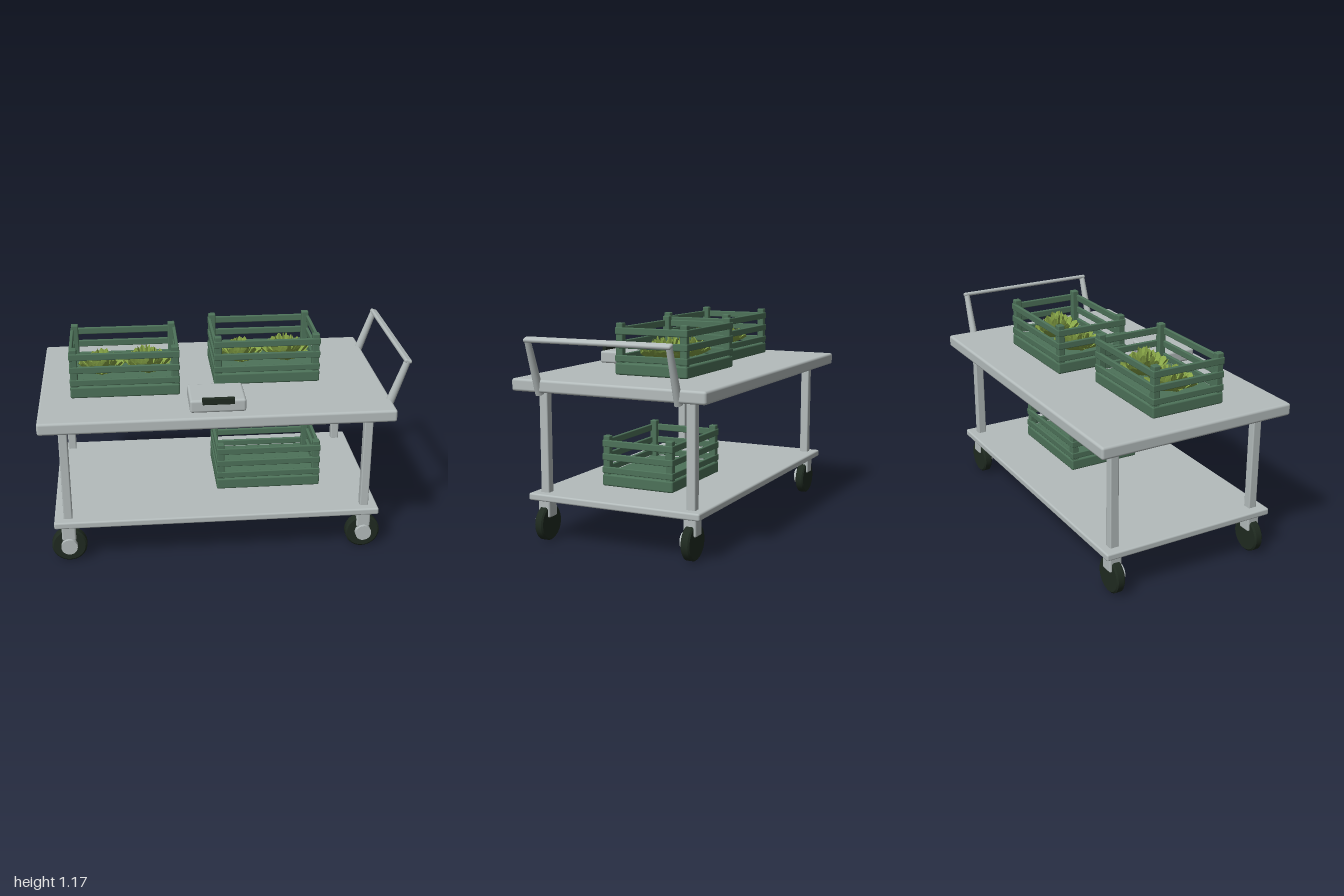
import * as THREE from 'three';
import { RoundedBoxGeometry } from 'three/addons/geometries/RoundedBoxGeometry.js';
import { mergeGeometries } from 'three/addons/utils/BufferGeometryUtils.js';

const mat = (name, color, extra = {}) => {
  const m = new THREE.MeshStandardMaterial({ color, ...extra });
  m.name = name;
  return m;
};

export function createModel() {
  const metal = mat('pale grey metal', 0xb4bcbc);
  const green = mat('crate green', 0x4d7259);
  const dark = mat('dark rubber', 0x1f2a20);
  const leafGreen = mat('leaf green', 0x8aa848, { side: THREE.DoubleSide, flatShading: true });

  const cart = new THREE.Group();
  cart.name = 'cart';

  const add = (parent, name, geometry, material, x = 0, y = 0, z = 0) => {
    const mesh = new THREE.Mesh(geometry, material);
    mesh.name = name;
    mesh.position.set(x, y, z);
    parent.add(mesh);
    return mesh;
  };
  // Rounded box given by its extents on each axis
  const block = (parent, name, material, [x0, x1], [y0, y1], [z0, z1], r = 0.006) =>
    add(parent, name, new RoundedBoxGeometry(x1 - x0, y1 - y0, z1 - z0, 2, r), material,
      (x0 + x1) / 2, (y0 + y1) / 2, (z0 + z1) / 2);

  // Table top and lower shelf
  block(cart, 'tableTop', metal, [-1, 0.9], [0.822, 0.89], [-0.565, 0.565], 0.014);
  block(cart, 'lowerShelf', metal, [-0.95, 0.85], [0.227, 0.266], [-0.507, 0.507], 0.01);

  // Legs and casters; every hub cap faces +z
  const tyre = new THREE.LatheGeometry([
    [0, -0.025], [0.088, -0.025], [0.088, -0.025], [0.097, -0.017], [0.097, -0.017],
    [0.097, 0.017], [0.097, 0.017], [0.088, 0.025], [0.088, 0.025], [0, 0.025],
  ].map(([x, y]) => new THREE.Vector2(x, y)), 32).rotateX(Math.PI / 2);
  const hub = new THREE.CylinderGeometry(0.045, 0.045, 0.04, 24).rotateX(Math.PI / 2);
  for (const x of [-0.875, 0.775]) {
    for (const z of [-0.435, 0.435]) {
      block(cart, 'leg', metal, [x - 0.024, x + 0.024], [0.25, 0.835], [z - 0.025, z + 0.025], 0.007);
      const caster = new THREE.Group();
      caster.name = 'caster';
      caster.position.set(x, 0, z);
      cart.add(caster);
      block(caster, 'fork', metal, [-0.039, 0.039], [0.13, 0.235], [-0.036, 0.036], 0.01);
      add(caster, 'wheel', tyre, dark, 0, 0.097, 0);
      add(caster, 'hubCap', hub, metal, 0, 0.1, 0.033);
    }
  }

  // Leaning push handle: tapered uprights joined by a cross bar
  const handle = new THREE.Group();
  handle.name = 'handle';
  cart.add(handle);
  const foot = new THREE.Vector2(0.872, 0.812), head = new THREE.Vector2(0.975, 1.108);
  const lean = Math.atan2(head.x - foot.x, head.y - foot.y);
  const upright = new THREE.CylinderGeometry(0.016, 0.022, foot.distanceTo(head), 16);
  upright.scale(1.15, 1, 1);
  for (const z of [-0.405, 0.405]) {
    const post = add(handle, 'handleUpright', upright, metal, (foot.x + head.x) / 2, (foot.y + head.y) / 2, z);
    post.rotation.z = -lean;
  }
  const bar = add(handle, 'handleBar', new RoundedBoxGeometry(0.043, 0.022, 0.842, 3, 0.01), metal, 0.976, 1.107, 0);
  bar.rotation.z = -lean;

  // Weighing unit with its display
  block(cart, 'scaleBody', metal, [-0.2, 0.1], [0.888, 0.96], [0.263, 0.498], 0.014);
  block(cart, 'scaleDisplay', dark, [-0.135, 0.036], [0.942, 0.977], [0.494, 0.518], 0.003);

  // One cupped leaf, bent from a plane: u runs to the tip, v across
  const leaf = (reach, height, spread, turn) => {
    const g = new THREE.PlaneGeometry(1, 1, 4, 4);
    const p = g.attributes.position;
    for (let i = 0; i < p.count; i++) {
      const v = p.getX(i) * 2, u = p.getY(i) + 0.5;
      const a = turn + v * spread * (0.85 - 0.35 * u * u);
      const r = reach * (0.12 + 0.88 * Math.pow(u, 0.75)) * (1 - 0.14 * v * v * u);
      const y = height * (Math.pow(u, 1.4) + 0.12 * v * v * u) - 0.008 * Math.cos(v * 6) * u;
      p.setXYZ(i, Math.sin(a) * r, y, Math.cos(a) * r);
    }
    g.computeVertexNormals();
    return g;
  };
  // Rings of leaves: count, reach, height, half angle
  const rings = [[7, 0.14, 0.05, 0.75], [7, 0.122, 0.066, 0.7], [6, 0.098, 0.085, 0.75],
    [5, 0.072, 0.102, 0.8], [5, 0.042, 0.115, 0.7]];
  const leaves = [];
  rings.forEach(([n, reach, height, spread], k) => {
    for (let i = 0; i < n; i++) {
      const wobble = Math.sin(i * 2.3 + k * 1.7);
      leaves.push(leaf(reach * (1 + 0.04 * wobble), height * (1 + 0.06 * wobble), spread,
        (i / n) * Math.PI * 2 + k * 0.55));
    }
  });
  const lettuce = mergeGeometries(leaves);

  // Slatted crate with a solid base tray and corner posts
  const W = 0.297, D = 0.215, T = 0.018;
  const crate = (name, x, y, z, filled) => {
    const c = new THREE.Group();
    c.name = name;
    c.position.set(x, y, z);
    cart.add(c);
    block(c, 'crateBase', green, [-W, W], [0, 0.065], [-D, D], 0.01);
    for (const [y0, y1] of [[0.071, 0.107], [0.143, 0.18], [0.217, 0.255]]) {
      for (const s of [-1, 1]) {
        const zc = s * (D - T / 2), xc = s * (W - T / 2);
        block(c, 'longSlat', green, [-W, W], [y0, y1], [zc - T / 2, zc + T / 2], 0.005);
        block(c, 'endSlat', green, [xc - T / 2, xc + T / 2], [y0, y1], [-D, D], 0.005);
      }
    }
    for (const px of [-0.273, 0.273]) {
      for (const pz of [-0.191, 0.191]) {
        block(c, 'cornerPost', green, [px - 0.02, px + 0.02], [0.02, 0.279], [pz - 0.02, pz + 0.02], 0.006);
      }
    }
    if (!filled) return;
    [-0.125, 0.132].forEach((lx, i) => {
      const plant = add(c, 'lettuce', lettuce, leafGreen, lx, 0.067, 0);
      plant.rotation.y = i * 0.9;
      plant.scale.y = i ? 1.07 : 0.95;
    });
  };
  crate('leftCrate', -0.533, 0.892, 0.038, true);
  crate('rightCrate', 0.257, 0.892, -0.08, true);
  crate('emptyCrate', 0.265, 0.276, 0.002, false);

  return cart;
}
